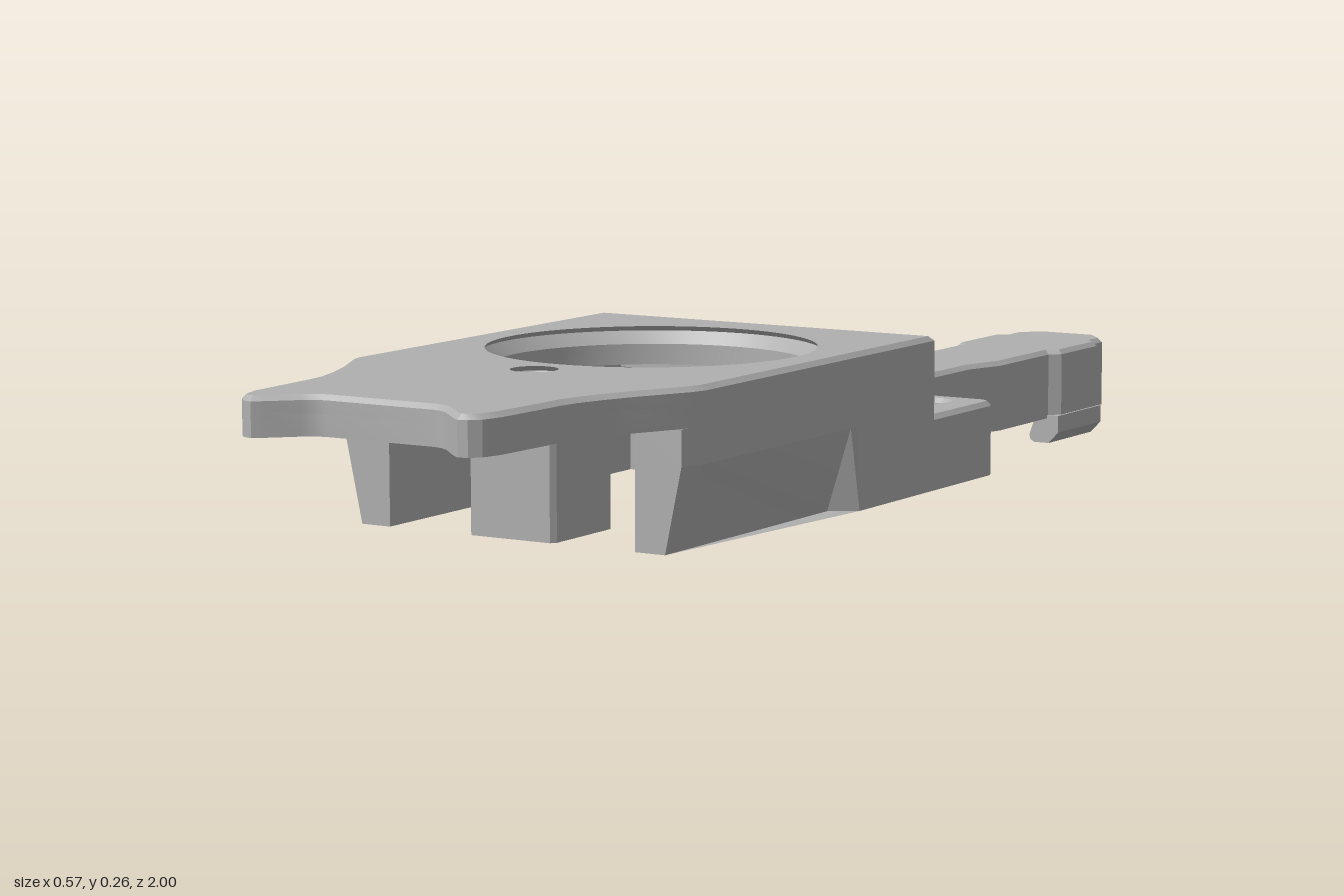
import * as THREE from 'three';
import { toCreasedNormals } from 'three/addons/utils/BufferGeometryUtils.js';

const HOLE_Z = 0.285, HOLE_R = 0.226, SCREW_Z = 0.58;

// Closed plan outline from [x, z] points, with round holes [x, z, radius]
function planShape(points, holes = []) {
  const shape = new THREE.Shape(points.map(([x, z]) => new THREE.Vector2(x, -z)));
  for (const [x, z, r] of holes) {
    shape.holes.push(new THREE.Path().absarc(x, -z, r, 0, Math.PI * 2, true));
  }
  return shape;
}

// Upright prism between two heights
function prism(points, y0, y1, holes, bevel = 0) {
  const g = new THREE.ExtrudeGeometry(planShape(points, holes), {
    depth: y1 - y0, bevelEnabled: bevel > 0, bevelThickness: bevel, bevelSize: bevel,
    bevelOffset: -bevel, bevelSegments: 1, curveSegments: 32,
  });
  return g.rotateX(-Math.PI / 2).translate(0, y0, 0);
}

// Full symmetric outline from its +x half
const mirrored = (half) => [...half, ...half.map(([x, z]) => [-x, z]).reverse()];
const flip = (points, s) => points.map(([x, z]) => [x * s, z]);

// Points on the edge of the large hole
function holeArc(a0, a1, n) {
  return Array.from({ length: n + 1 }, (_, i) => {
    const a = a0 + (a1 - a0) * i / n;
    return [HOLE_R * Math.cos(a), HOLE_Z + HOLE_R * Math.sin(a)];
  });
}

export function createModel() {
  const group = new THREE.Group();
  const grey = new THREE.MeshStandardMaterial({ color: 0xb0b0b0, side: THREE.DoubleSide });
  grey.name = 'grey plastic';
  const add = (name, geometry) => {
    const mesh = new THREE.Mesh(toCreasedNormals(geometry, 0.45), grey);
    mesh.name = name;
    group.add(mesh);
  };
  const t = 0.007;

  // Top plate: straight lower layer, countersunk upper layer, chamfered cap
  const plate = mirrored([
    [0.285, -0.025], [0.285, 0.6], [0.279, 0.622], [0.24, 0.7], [0.222, 0.745], [0.208, 0.79],
    [0.204, 0.82], [0.198, 0.95], [0.19, 0.978], [0.177, 0.992], [0.163, 0.995], [0.148, 0.983],
    [0.115, 0.95], [0.1, 0.94], [0.085, 0.936],
  ]);
  const wide = [[0, HOLE_Z, 0.242], [0, SCREW_Z, 0.04]];
  add('plateLower', prism(plate, 0.21, 0.24, [[0, HOLE_Z, HOLE_R], [0, SCREW_Z, 0.03]]));
  add('plateUpper', prism(plate, 0.24, 0.265 - t, wide));
  add('plateChamfer', prism(plate, 0.264 - t, 0.265 - t, wide, t));

  // Countersink cones
  for (const [name, z, r0, r1] of [['lensCountersink', HOLE_Z, HOLE_R, 0.242], ['screwCountersink', SCREW_Z, 0.03, 0.04]]) {
    const cone = new THREE.LatheGeometry([new THREE.Vector2(r1, 0.265 - t), new THREE.Vector2(r0, 0.24)], 64);
    add(name, cone.translate(0, 0, z));
  }

  // Side walls, hollowed by the large hole, tapering in at the bottom
  const wall = [
    [0.2, 0.64], ...holeArc(0.48, -0.48, 10), [0.2, 0.03], [0.285, 0.03],
    [0.285, 0.19], [0.285, 0.215], [0.285, 0.6], [0.273, 0.64],
  ];
  for (const s of [1, -1]) {
    add('wallUpper', prism(flip(wall, s), 0.16, 0.21));
    const lower = prism(flip(wall, s), 0.04, 0.16);
    const p = lower.attributes.position;
    for (let i = 0; i < p.count; i++) {
      if (p.getY(i) < 0.1 && p.getZ(i) > 0.2 && Math.abs(p.getX(i)) > 0.25) p.setX(i, s * 0.247);
    }
    lower.deleteAttribute('normal');
    lower.computeVertexNormals();
    add('wallLower', lower);
  }

  // Screw post under the front of the plate
  const post = [[-0.07, 0.632], [-0.064, 0.64], [0.064, 0.64], [0.07, 0.632],
    ...holeArc(Math.PI / 2 - 0.315, Math.PI / 2 + 0.315, 8)];
  add('screwPost', prism(post, 0.04, 0.21, [[0, SCREW_Z, 0.03]]));

  // Rear bulkhead with a concave cove under the plate, profile in (z, y)
  const cove = new THREE.Shape();
  cove.moveTo(-0.025, 0.12);
  cove.lineTo(0.0, 0.128);
  cove.quadraticCurveTo(0.0, 0.197, 0.055, 0.197);
  cove.lineTo(0.055, 0.21);
  cove.lineTo(-0.025, 0.21);
  const coveGeo = new THREE.ExtrudeGeometry(cove, { depth: 0.4, bevelEnabled: false, curveSegments: 10 });
  add('bulkhead', coveGeo.rotateY(-Math.PI / 2).translate(0.2, 0, 0));
  for (const s of [1, -1]) {
    add('bulkheadSide', new THREE.BoxGeometry(0.085, 0.11, 0.055).translate(s * 0.2425, 0.155, 0.0025));
  }

  // Rear block and arm share one top slab
  const armSide = [
    [0.08, -0.215], [0.08, -0.38], [0.06, -0.4], [0.06, -0.545], [0.08, -0.61], [0.08, -0.775],
    [0.096, -0.79], [0.096, -0.915], [0.08, -0.93], [0.08, -0.965], [0.05, -1],
  ];
  const slab = mirrored([[0.285, 0.01], [0.285, -0.195], [0.279, -0.209], [0.265, -0.215], ...armSide]);
  const earHoles = [[0.205, -0.157, 0.026], [-0.205, -0.157, 0.026]];
  add('rearSlab', prism(slab, 0.105, 0.15 - t, earHoles));
  add('rearSlabChamfer', prism(slab, 0.149 - t, 0.15 - t, earHoles, t));

  // Ears, arm rails and tip hooks on both sides of the channel
  const ear = [[0.1, 0.01], [0.2, 0.03], [0.285, 0.03], [0.285, -0.195], [0.279, -0.209], [0.265, -0.215], [0.1, -0.215]];
  const rail = [[0.03, -0.17], [0.1, -0.17], [0.1, -0.215], ...armSide, [0.03, -1]];
  const hook = [[0.06, 0.045], [0.048, 0.012], [0.05, 0.004], [0.057, 0], [0.083, 0], [0.1, 0.018], [0.1, 0.045]];
  for (const s of [1, -1]) {
    add('ear', prism(flip(ear, s), 0.04, 0.106, [[s * 0.205, -0.157, 0.026]]));
    add('armRail', prism(flip(rail, s), 0.04, 0.106));
    const profile = new THREE.Shape(hook.map(([x, y]) => new THREE.Vector2(s * x, y)));
    const g = new THREE.ExtrudeGeometry(profile, { depth: 0.15, bevelEnabled: false });
    add('tipHook', g.translate(0, 0, -0.922));
  }
  return group;
}
